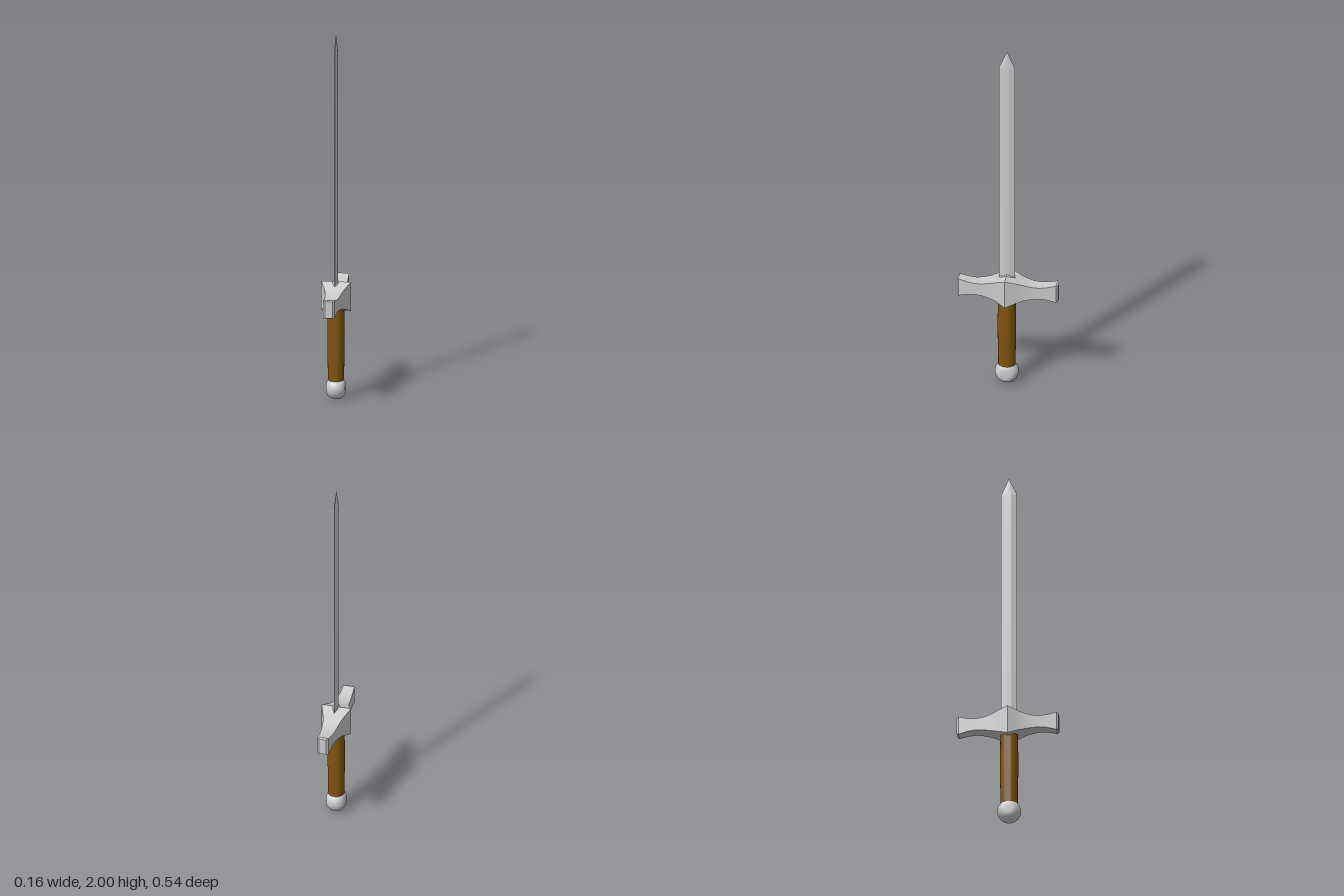
import * as THREE from 'three';
import { toCreasedNormals } from 'three/addons/utils/BufferGeometryUtils.js';

const CZ = 0.006; // z of the sword's long axis

// Skin through rings of points (counter-clockwise about the loft direction), capped.
function loft(rings, crease = 0.4) {
  const n = rings[0].length, index = [];
  for (let i = 0; i < rings.length - 1; i++) {
    for (let j = 0; j < n; j++) {
      const k = (j + 1) % n, a = i * n + j, b = i * n + k;
      index.push(a, b, b + n, a, b + n, a + n);
    }
  }
  const last = (rings.length - 1) * n;
  for (let j = 1; j < n - 1; j++) {
    index.push(0, j + 1, j, last, last + j, last + j + 1);
  }
  const geo = new THREE.BufferGeometry();
  geo.setAttribute('position', new THREE.Float32BufferAttribute(rings.flat(2), 3));
  geo.setIndex(index);
  return toCreasedNormals(geo, crease);
}

export function createModel() {
  const group = new THREE.Group();
  const steel = new THREE.MeshStandardMaterial({ color: 0xcccccc });
  const leather = new THREE.MeshStandardMaterial({ color: 0x80530f });
  const add = (name, geo, mat) => {
    const mesh = new THREE.Mesh(geo, mat);
    mesh.name = name;
    group.add(mesh);
    return mesh;
  };

  // Blade: thin six-sided section tapering to the point
  const bladeRing = (y, s) => [
    [0, 0.043], [0.01, 0.012], [0.01, -0.012],
    [0, -0.043], [-0.01, -0.012], [-0.01, 0.012],
  ].map(([x, z]) => [x * s, y, CZ + z * s]);
  add('blade', loft([bladeRing(0.58, 1), bladeRing(1.9, 1), bladeRing(2, 0.01)], 0.1), steel);

  // Crossguard: half profile [distance, half width, bottom, top], mirrored front to back
  const half = [
    [0, 0.08, 0.487, 0.645],
    [0.06, 0.055, 0.51, 0.622],
    [0.09, 0.046, 0.519, 0.611],
    [0.13, 0.04, 0.527, 0.601],
    [0.17, 0.036, 0.531, 0.597],
    [0.21, 0.033, 0.527, 0.602],
    [0.26, 0.03, 0.514, 0.615],
    [0.27, 0.02, 0.519, 0.61],
  ];
  const guardRing = (z, w, lo, hi) => [[w, lo, z], [w, hi, z], [-w, hi, z], [-w, lo, z]];
  const back = half.slice(1).reverse().map(([d, w, lo, hi]) => guardRing(-d, w, lo, hi));
  const front = half.map(([d, w, lo, hi]) => guardRing(d || CZ, w, lo, hi));
  add('crossguard', loft([...back, ...front]), steel);

  // Small collar where the blade enters the guard
  const collarRing = (y, x, z) => [[0, y, CZ + z], [x, y, CZ], [0, y, CZ - z], [-x, y, CZ]];
  add('bladeCollar', loft([collarRing(0.63, 0.035, 0.045), collarRing(0.652, 0.01, 0.02)], 0.1), steel);

  // Grip: slightly swelling round handle
  const gripProfile = [
    [0, 0.09], [0.044, 0.09], [0.045, 0.16], [0.047, 0.27], [0.048, 0.36], [0.046, 0.45], [0.045, 0.51], [0, 0.51],
  ].map(([r, y]) => new THREE.Vector2(r, y));
  const grip = add('grip', toCreasedNormals(new THREE.LatheGeometry(gripProfile, 32), 0.6), leather);
  grip.scale.set(0.96, 1, 1.03);
  grip.position.z = CZ;

  // Pommel: thick rounded disc lying across the x axis
  const rim = [];
  for (let i = 0; i <= 12; i++) {
    const a = -Math.PI / 2 + (Math.PI * i) / 12;
    rim.push(new THREE.Vector2(0.022 + 0.041 * Math.cos(a), 0.05 * Math.sin(a)));
  }
  const pommelProfile = [new THREE.Vector2(0, -0.05), ...rim, new THREE.Vector2(0, 0.05)];
  const pommel = add('pommel', new THREE.LatheGeometry(pommelProfile, 32), steel);
  pommel.rotation.z = Math.PI / 2;
  pommel.position.set(0, 0.063, CZ);

  return group;
}
